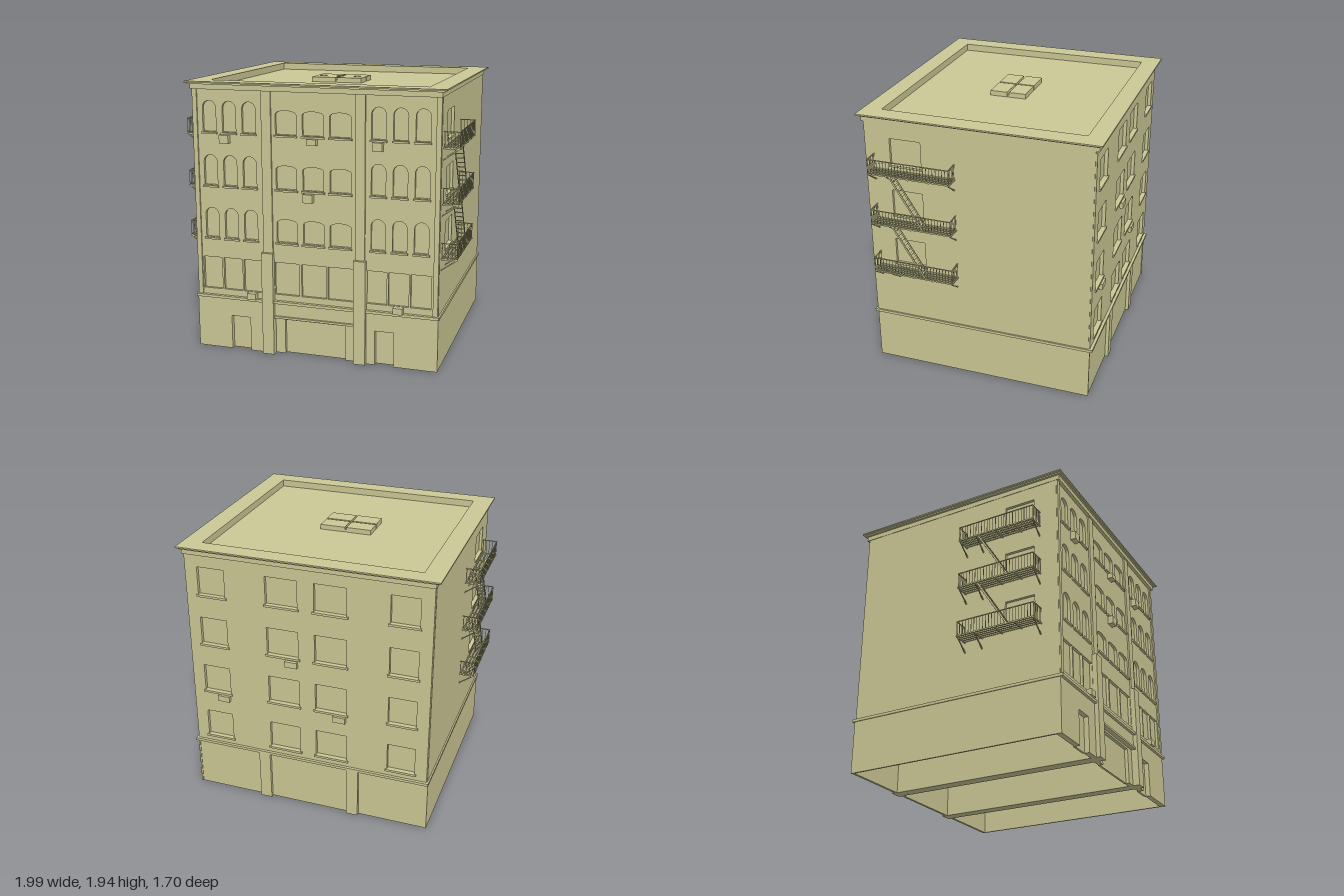
import * as THREE from 'three';

const stone = new THREE.MeshStandardMaterial({ color: 0xcbc795 });
stone.name = 'sandstone';

function add(parent, name, geometry) {
  const mesh = new THREE.Mesh(geometry, stone);
  mesh.name = name;
  parent.add(mesh);
  return mesh;
}

// Box given by its limits on each axis
function box(parent, name, x0, x1, y0, y1, z0, z1) {
  const mesh = add(parent, name, new THREE.BoxGeometry(x1 - x0, y1 - y0, z1 - z0));
  mesh.position.set((x0 + x1) / 2, (y0 + y1) / 2, (z0 + z1) / 2);
  return mesh;
}

// Thin bar between two points
function bar(parent, name, a, b, t) {
  const p = new THREE.Vector3(...a), q = new THREE.Vector3(...b);
  const mesh = add(parent, name, new THREE.BoxGeometry(t, t, p.distanceTo(q)));
  mesh.position.copy(p).add(q).multiplyScalar(0.5);
  mesh.lookAt(q);
  return mesh;
}

function rectPath(Type, x0, x1, y0, y1) {
  return new Type().moveTo(x0, y0).lineTo(x1, y0).lineTo(x1, y1).lineTo(x0, y1).lineTo(x0, y0);
}

// Opening with an optional arched head of the given rise
function opening({ x, w, y0, y1, rise = 0 }) {
  const r = w / 2;
  if (!rise) return rectPath(THREE.Path, x - r, x + r, y0, y1);
  const path = new THREE.Path();
  path.moveTo(x - r, y0).lineTo(x + r, y0).lineTo(x + r, y1 - rise);
  path.absellipse(x, y1 - rise, r, rise, 0, Math.PI, false);
  path.lineTo(x - r, y0);
  return path;
}

// Wall plate with openings; its inner face lies on local z = 0
function wall(parent, name, x0, x1, y0, y1, depth, holes) {
  const shape = rectPath(THREE.Shape, x0, x1, y0, y1);
  shape.holes = holes.map(opening);
  return add(parent, name, new THREE.ExtrudeGeometry(shape, { depth, bevelEnabled: false, curveSegments: 10 }));
}

function ring(parent, name, hx, hz, y0, y1) {
  const shape = rectPath(THREE.Shape, -hx, hx, -hz, hz);
  shape.holes.push(rectPath(THREE.Path, -0.78, 0.78, -0.72, 0.72));
  const mesh = add(parent, name, new THREE.ExtrudeGeometry(shape, { depth: y1 - y0, bevelEnabled: false }));
  mesh.rotation.x = -Math.PI / 2;
  mesh.position.y = y0;
}

const floors = [0.83, 1.21, 1.59];

function front(g) {
  const holes = [];
  const sill = (x, w, y) => box(g, 'frontSill', x - w / 2 - 0.008, x + w / 2 + 0.008, y - 0.016, y - 0.003, 0.79, 0.815);
  for (const y of floors) {
    for (const x of [-0.76, -0.612, -0.465, 0.46, 0.61, 0.76]) {
      holes.push({ x, w: 0.1, y0: y, y1: y + 0.215, rise: 0.05 });
      sill(x, 0.1, y);
    }
    for (const x of [-0.195, 0, 0.195]) {
      holes.push({ x, w: 0.15, y0: y, y1: y + 0.165, rise: 0.025 });
      sill(x, 0.15, y);
    }
  }
  // Large first floor windows
  for (const x of [-0.767, -0.61, -0.455, 0.452, 0.607, 0.763]) holes.push({ x, w: 0.143, y0: 0.445, y1: 0.68 });
  for (const x of [-0.2, 0, 0.195]) holes.push({ x, w: 0.183, y0: 0.445, y1: 0.68 });
  wall(g, 'frontWall', -0.88, 0.88, 0.39, 1.89, 0.025, holes).position.z = 0.775;

  for (const s of [-1, 1]) {
    const side = (name, a, b, ...rest) => box(g, name, Math.min(s * a, s * b), Math.max(s * a, s * b), ...rest);
    side('pilaster', 0.3, 0.37, 0.7, 1.89, 0.78, 0.812);
    side('lowerPilaster', 0.295, 0.38, 0.38, 0.75, 0.78, 0.835);
    side('cornerStrip', 0.848, 0.882, 0.4, 1.89, 0.78, 0.81);
    side('frontLedge', 0.38, 0.893, 0.38, 0.4, 0.78, 0.825);
  }
  box(g, 'middleLedge', -0.295, 0.295, 0.38, 0.4, 0.78, 0.825);
}

function back(parent) {
  const g = new THREE.Group();
  g.name = 'back';
  g.rotation.y = Math.PI;
  parent.add(g);
  const holes = [];
  for (const y of [0.45, ...floors]) {
    for (const [x, w] of [[-0.69, 0.2], [-0.175, 0.23], [0.175, 0.23], [0.69, 0.2]]) {
      holes.push({ x, w, y0: y, y1: y + 0.205 });
      box(g, 'backSill', x - w / 2 - 0.012, x + w / 2 + 0.012, y - 0.016, y, 0.795, 0.82);
    }
  }
  wall(g, 'backWall', -0.88, 0.88, 0.39, 1.89, 0.03, holes).position.z = 0.78;
  box(g, 'backLedge', -0.893, 0.893, 0.38, 0.4, 0.78, 0.83);
}

function sides(g) {
  for (const s of [-1, 1]) {
    // Local x runs along the side; it points to -z on the right, +z on the left
    const holes = floors.map((y) => ({ x: -s * 0.512, w: 0.225, y0: y, y1: y + 0.19 }));
    const plate = wall(g, 'sideWall', -0.8, 0.8, 0.39, 1.89, 0.025, holes);
    plate.rotation.y = s * Math.PI / 2;
    plate.position.x = s * 0.86;
    const c = s * 0.882;
    for (const y of floors) box(g, 'sideSill', c - 0.012, c + 0.012, y - 0.014, y, 0.395, 0.63);
    box(g, 'sideLedge', c - 0.014, c + 0.014, 0.38, 0.4, -0.82, 0.82);
    box(g, 'groundSideWall', c - 0.008, c + 0.004, 0, 0.385, -0.81, 0.805);
  }
}

// Ground floor: three rooms, open below, divided by full-depth walls
function ground(g) {
  for (const s of [-1, 1]) {
    const x = s * 0.3375;
    box(g, 'partitionWall', x - 0.0425, x + 0.0425, 0, 0.38, -0.83, 0.835);
    const door = s < 0 ? -0.557 : 0.51;
    const w = s < 0 ? 0.145 : 0.135;
    // The opening runs just below the wall so the door reaches the floor
    const shape = new THREE.Shape();
    const [a, b] = s < 0 ? [-0.885, -0.38] : [0.38, 0.885];
    shape.moveTo(a, 0).lineTo(door - w / 2, 0).lineTo(door - w / 2, 0.25).lineTo(door + w / 2, 0.25)
      .lineTo(door + w / 2, 0).lineTo(b, 0).lineTo(b, 0.385).lineTo(a, 0.385);
    add(g, 'groundFrontWall', new THREE.ExtrudeGeometry(shape, { depth: 0.04, bevelEnabled: false })).position.z = 0.765;
    box(g, 'door', door - w / 2, door + w / 2, 0, 0.25, 0.755, 0.77);
    box(g, 'groundBackWall', a, b, 0, 0.385, -0.805, -0.785);
    box(g, 'gateJamb', s < 0 ? -0.295 : 0.225, s < 0 ? -0.225 : 0.295, 0, 0.27, 0.75, 0.785);
  }
  box(g, 'groundBackWall', -0.3, 0.3, 0, 0.385, -0.805, -0.785);
  box(g, 'gateHeader', -0.295, 0.295, 0.285, 0.385, 0.76, 0.805);
  box(g, 'gateTrim', -0.295, 0.295, 0.27, 0.285, 0.76, 0.82);
  box(g, 'gateLintel', -0.225, 0.225, 0.255, 0.275, 0.75, 0.785);
  box(g, 'gate', -0.225, 0.225, 0, 0.255, 0.745, 0.76);
}

function roof(g) {
  ring(g, 'corniceFascia', 0.888, 0.825, 1.885, 1.92);
  ring(g, 'corniceStep', 0.903, 0.838, 1.92, 1.93);
  ring(g, 'corniceCap', 0.92, 0.85, 1.93, 1.94);
  for (const [x0, x1] of [[-0.222, -0.04], [-0.028, 0.155]])
    for (const [z0, z1] of [[-0.093, 0.03], [0.045, 0.17]]) box(g, 'skylightPane', x0, x1, 1.89, 1.925, z0, z1);
  box(g, 'skylightBase', -0.215, 0.15, 1.87, 1.905, -0.085, 0.163);
}

// Window cooling units
function coolers(g) {
  const units = [[-0.64, 1.545, 0.06], [0, 1.553, 0.042], [0.46, 1.545, 0.06], [-0.03, 1.163, 0.06],
    [-0.46, 0.42, 0.045], [0.61, 0.42, 0.045]];
  for (const [x, y, h] of units) box(g, 'coolingUnit', x - 0.034, x + 0.034, y - h / 2, y + h / 2, 0.79, 0.84);
  for (const [x, y] of [[0.64, 0.79], [0.11, 1.165], [-0.24, 0.79]])
    box(g, 'coolingUnit', x - 0.045, x + 0.045, y - 0.022, y + 0.022, -0.835, -0.8);
}

// Fire escape for the +x side, centred on z = 0
function fireEscape() {
  const g = new THREE.Group();
  const L = 0.293, xi = 0.888, xo = 0.995;
  const decks = [0.795, 1.172, 1.55];
  decks.forEach((y, i) => {
    // Open grating
    for (let k = 0; k < 5; k++) {
      const x = xi + 0.006 + k * 0.0238;
      box(g, 'deckSlat', x - 0.004, x + 0.004, y - 0.006, y + 0.004, -L, L);
    }
    for (const z of [-L, -0.15, 0, 0.155, L]) box(g, 'deckBeam', xi - 0.005, xo, y - 0.01, y, z - 0.004, z + 0.004);
    // Brackets
    for (const z of [-L + 0.004, 0.155, L - 0.004]) {
      bar(g, 'bracket', [xo - 0.008, y - 0.01, z], [0.882, y - 0.085, z], 0.007);
    }
    // Railing
    const top = y + 0.105;
    bar(g, 'topRail', [xo - 0.003, top, -L], [xo - 0.003, top, L], 0.006);
    for (let k = 0; k <= 26; k++) {
      const z = -L + k * (2 * L / 26);
      box(g, 'baluster', xo - 0.005, xo - 0.002, y, top, z - 0.0015, z + 0.0015);
    }
    for (const z of [-L, L]) {
      bar(g, 'endRail', [xi - 0.005, top, z], [xo, top, z], 0.006);
      for (let k = 0; k < 5; k++) {
        const x = xi + 0.004 + k * 0.022;
        box(g, 'endBaluster', x - 0.0015, x + 0.0015, y, top, z - 0.0015, z + 0.0015);
      }
    }
    // Stair up to the next deck
    if (i < 2) {
      const y1 = decks[i + 1], z0 = -0.09, z1 = 0.145;
      for (const x of [0.929, 0.985]) {
        const rail = bar(g, 'stairStringer', [x, y, z0], [x, y1, z1], 0.012);
        rail.scale.x = 0.4;
      }
      for (let k = 1; k < 11; k++) {
        const t = k / 11, yy = y + (y1 - y) * t, z = z0 + (z1 - z0) * t;
        box(g, 'stairTread', 0.929, 0.985, yy - 0.002, yy + 0.002, z - 0.009, z + 0.009);
      }
    }
  });
  return g;
}

export function createModel() {
  const model = new THREE.Group();
  model.name = 'building';
  // Core forms the recessed window panes, the roof deck and the ground floor ceiling
  box(model, 'core', -0.865, 0.865, 0.38, 1.89, -0.785, 0.78);
  front(model);
  back(model);
  sides(model);
  ground(model);
  roof(model);
  coolers(model);

  const right = fireEscape();
  right.name = 'fireEscapeRight';
  right.position.z = 0.452;
  const left = fireEscape();
  left.name = 'fireEscapeLeft';
  left.rotation.y = Math.PI;
  left.position.z = 0.378;
  model.add(right, left);
  return model;
}
